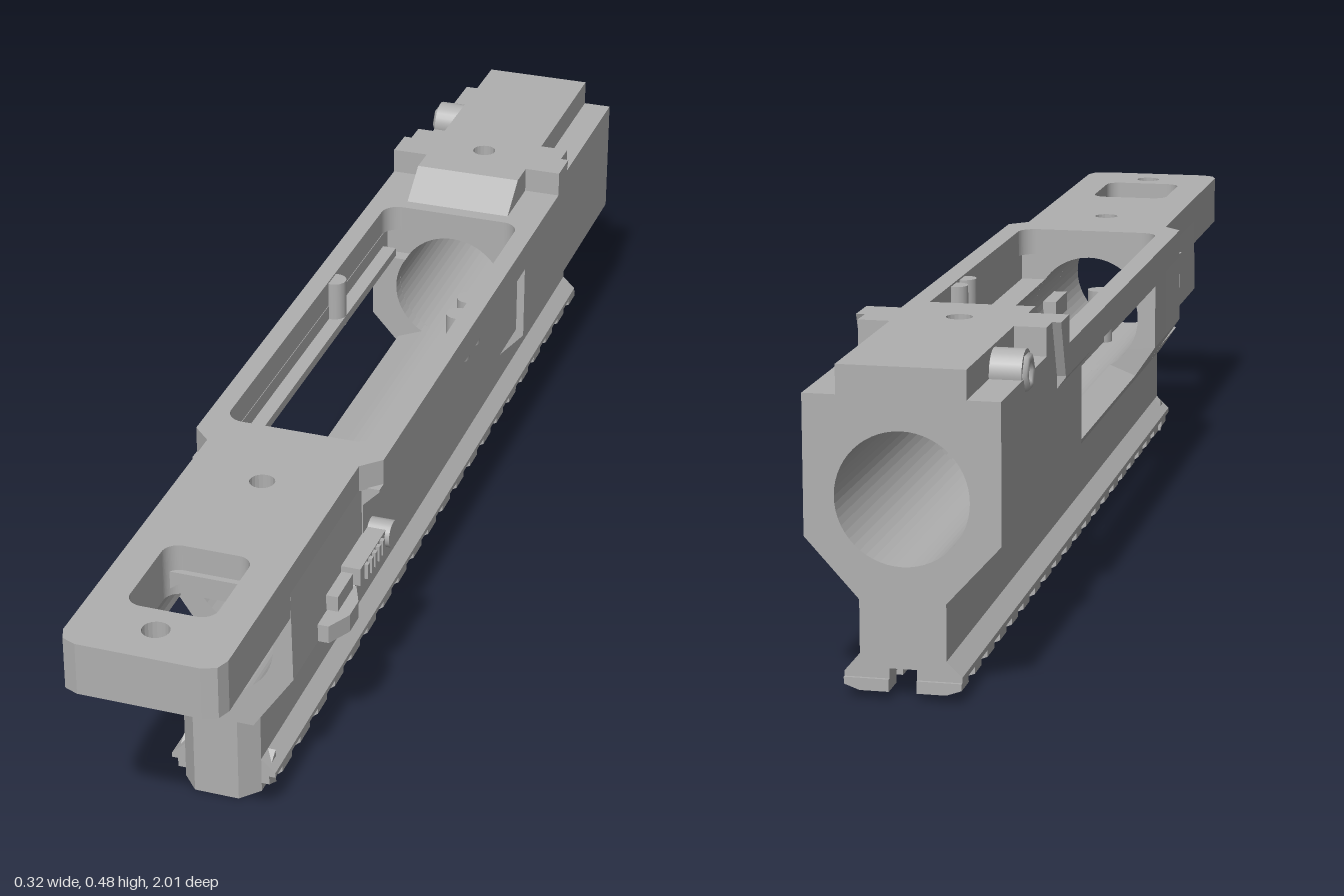
import * as THREE from 'three';

const V = (x, y) => new THREE.Vector2(x, y);
const BORE_Y = 0.29, BORE_R = 0.097;

// points on the bore circle between two angles in degrees
function arc(a0, a1, n = 28) {
  const pts = [];
  for (let i = 0; i <= n; i++) {
    const a = THREE.MathUtils.degToRad(a0 + (a1 - a0) * i / n);
    pts.push([BORE_R * Math.cos(a), BORE_Y + BORE_R * Math.sin(a)]);
  }
  return pts;
}
const toShape = pts => new THREE.Shape(pts.map(p => V(p[0], p[1])));
const mirrorX = pts => pts.map(([x, y]) => [-x, y]).reverse();

function circlePath(x, y, r) {
  const p = new THREE.Path();
  p.absarc(x, y, r, 0, Math.PI * 2, true);
  return p;
}

// rounded rectangle in plan, drawn with y = -z
function roundRect(x0, z0, x1, z1, r) {
  const p = new THREE.Path();
  p.absarc(x1 - r, -z0 - r, r, 0, Math.PI / 2);
  p.absarc(x0 + r, -z0 - r, r, Math.PI / 2, Math.PI);
  p.absarc(x0 + r, -z1 + r, r, Math.PI, Math.PI * 1.5);
  p.absarc(x1 - r, -z1 + r, r, Math.PI * 1.5, Math.PI * 2);
  return p;
}

const extrude = (shape, depth) =>
  new THREE.ExtrudeGeometry(shape, { depth, bevelEnabled: false, curveSegments: 10 });

export function createModel() {
  const model = new THREE.Group();
  const metal = new THREE.MeshStandardMaterial({ color: 0xb0b0b0 });
  metal.name = 'grey metal';

  function add(name, geo, x = 0, y = 0, z = 0) {
    const m = new THREE.Mesh(geo, metal);
    m.name = name;
    m.position.set(x, y, z);
    model.add(m);
    return m;
  }
  // cross-section run along z, plan run up y, side profile run across x
  const along = (name, pts, z0, z1, bored) => {
    const s = toShape(pts);
    if (bored) s.holes.push(new THREE.Path(arc(360, 0, 56).slice(0, -1).map(p => V(p[0], p[1]))));
    return add(name, extrude(s, z1 - z0), 0, 0, z0);
  };
  const plan = (name, shape, y0, y1) =>
    add(name, extrude(shape, y1 - y0).rotateX(-Math.PI / 2), 0, y0, 0);
  const across = (name, pts, x0, x1) =>
    add(name, extrude(toShape(pts), x1 - x0).rotateY(-Math.PI / 2), x1, 0, 0);
  const box = (name, x0, x1, y0, y1, z0, z1) =>
    add(name, new THREE.BoxGeometry(x1 - x0, y1 - y0, z1 - z0),
      (x0 + x1) / 2, (y0 + y1) / 2, (z0 + z1) / 2);

  // half outlines from the neck up, for each stretch of the body
  const front = [[0.0625, 0.143], [0.128, 0.24], [0.125, 0.392]];
  const mid = [[0.0625, 0.143], [0.128, 0.24], [0.128, 0.36], [0.155, 0.388], [0.155, 0.39]];
  const shoulder = [[0.0625, 0.143], [0.1415, 0.23], [0.1415, 0.37], [0.155, 0.388], [0.155, 0.392]];
  const rear = [[0.0625, 0.143], [0.1415, 0.23], [0.1415, 0.435]];
  const whole = half => [...half, ...mirrorX(half)];
  const ledge = [[0.122, 0.39], [0.122, 0.345]];
  const trough = half => [...half, ...ledge, ...arc(34.5, -214.5, 40), ...mirrorX(ledge), ...mirrorX(half)];

  // body, front to rear
  along('frontBody', [...front, [-0.125, 0.392], [-0.128, 0.265],
    ...arc(188.9, -119.7, 44), [-0.093, 0.188], [-0.0625, 0.143]], 0.55, 0.72);
  along('frontRing', whole(front), 0.4, 0.55, true);
  along('frontBridge', whole([...mid.slice(0, 4), [0.155, 0.392]]), 0.34, 0.4, true);
  along('portFrontEnd', trough(mid), 0.29, 0.34);
  along('midBody', [...mid, ...ledge, ...arc(34.5, -119.7), [-0.093, 0.188], [-0.0625, 0.143]], -0.44, 0.29);
  along('portUpperRail', [[-0.155, 0.39], [-0.155, 0.388], [-0.128, 0.36], [-0.128, 0.35],
    [-0.098, 0.35], [-0.098, 0.365], [-0.122, 0.365], [-0.122, 0.39]], -0.44, 0.29);
  along('portRearEnd', trough(shoulder), -0.465, -0.44);
  along('rearBridge', whole(shoulder), -0.625, -0.465, true);
  along('rearBody', whole(rear), -1, -0.625, true);

  // top plate with the loading opening, tang and screw holes
  const outline = [[0.155, 0.625], [0.155, -0.38], [0.125, -0.41], [0.125, -0.97], [0.117, -0.991], [0.095, -1]];
  const tangHoles = () => [roundRect(-0.07, 0.71, 0.067, 0.88, 0.025), circlePath(0, -0.93, 0.021)];
  const top = toShape([...outline, ...mirrorX(outline)].reverse());
  top.holes.push(roundRect(-0.123, -0.465, 0.122, 0.34, 0.03), circlePath(0, -0.5, 0.02), ...tangHoles());
  plan('topPlate', top, 0.39, 0.435);
  const tang = [[0.125, -0.715], ...outline.slice(3)];
  const under = toShape([...tang, ...mirrorX(tang)].reverse());
  under.holes.push(...tangHoles());
  plan('tangUnderside', under, 0.35, 0.39);

  // raised rear slab, its ramp and wide shoulder
  const slab = toShape([[-0.093, 0.55], [0.093, 0.55], [0.093, 1], [-0.093, 1]]);
  slab.holes.push(circlePath(0, 0.65, 0.02));
  plan('rearSlab', slab, 0.434, 0.478);
  across('slabRamp', [[-0.49, 0.435], [-0.55, 0.478], [-0.55, 0.435]].reverse(), -0.093, 0.093);
  for (const s of [-1, 1]) {
    const x = [0.093 * s, 0.155 * s].sort((a, b) => a - b);
    across('slabShoulder', [[-0.6, 0.39], [-0.6, 0.478], [-0.66, 0.478], [-0.625, 0.39]], x[0], x[1]);
    const w = [0.093 * s, 0.1415 * s].sort((a, b) => a - b);
    box('slabWing', w[0], w[1], 0.434, 0.478, -0.7, -0.64);
  }

  // neck with flared accessory rail and a centre groove underneath
  const neck = [[0.02, 0.045], [0.02, 0.03], [0.085, 0.03], [0.085, 0.038], [0.0625, 0.06], [0.0625, 0.145]];
  along('neck', [...neck, ...mirrorX(neck)], -1, 0.69);
  plan('neckNose', toShape([[-0.0625, -0.66], [-0.0625, -0.69], [-0.036, -0.72],
    [0.036, -0.72], [0.0625, -0.69], [0.0625, -0.66]]), 0, 0.145);
  across('noseFlare', [[0.66, 0], [0.69, 0.015], [0.69, 0.04], [0.66, 0.06]], -0.075, 0.075);
  for (let i = 0; i < 21; i++) {
    const z = 0.658 - i * 0.081, y = 0.012 * i / 20;
    const tooth = [[0.02, y], [0.0625, y], [0.085, 0.02], [0.085, 0.03], [0.02, 0.03]];
    along('railToothLeft', tooth, z - 0.043, z);
    along('railToothRight', mirrorX(tooth), z - 0.043, z);
  }

  // guide bumps in the opening and the stop tab in the bore
  for (const [x, z] of [[-0.118, -0.17], [0.118, -0.18], [0.118, -0.12]]) {
    add('guideBump', new THREE.CylinderGeometry(0.02, 0.02, 0.084, 16), x, 0.39, z);
  }
  box('boreStop', 0.073, 0.1, 0.258, 0.292, 0.4, 0.5);

  // release lever on the left side
  box('leverArm', 0.12, 0.158, 0.278, 0.308, 0.37, 0.5);
  add('leverPad', new THREE.CylinderGeometry(0.022, 0.022, 0.045, 20).rotateZ(Math.PI / 2), 0.143, 0.293, 0.363);
  for (let i = 0; i < 5; i++) box('leverRib', 0.158, 0.164, 0.28, 0.306, 0.4 + i * 0.018, 0.409 + i * 0.018);
  box('leverTail', 0.12, 0.146, 0.272, 0.298, 0.5, 0.57);
  plan('leverFoot', toShape([[0.12, -0.61], [0.145, -0.61], [0.165, -0.57], [0.165, -0.53],
    [0.148, -0.49], [0.12, -0.49]]), 0.24, 0.27);
  add('leverPin', new THREE.CylinderGeometry(0.022, 0.022, 0.04, 16).rotateZ(Math.PI / 2), 0.112, 0.228, 0.435);

  // cross screw beside the rear slab, with a socket ring on its head
  add('crossScrew', new THREE.CylinderGeometry(0.034, 0.034, 0.05, 24).rotateZ(Math.PI / 2), -0.115, 0.44, -0.83);
  add('screwSocket', new THREE.TorusGeometry(0.022, 0.008, 8, 6).rotateY(Math.PI / 2), -0.14, 0.44, -0.83);

  model.position.x = -0.007;
  const root = new THREE.Group();
  root.name = 'railedBody';
  model.name = 'parts';
  root.add(model);
  return root;
}
